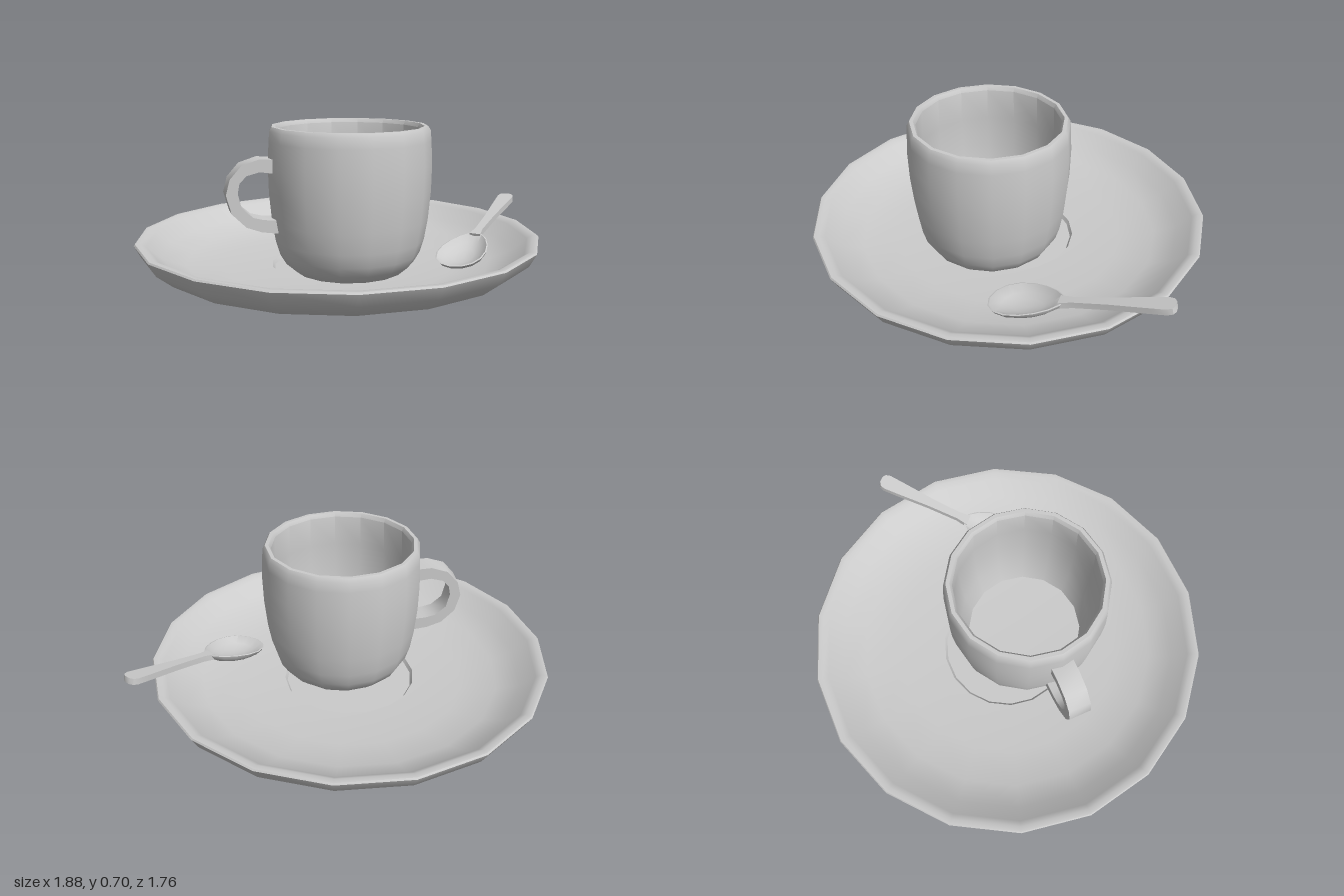
import * as THREE from 'three';
import { toCreasedNormals } from 'three/addons/utils/BufferGeometryUtils.js';

const material = new THREE.MeshStandardMaterial({ color: 0xcccccc });
const vectors = (pairs) => pairs.map(([x, y]) => new THREE.Vector2(x, y));

function part(name, geometry, crease = 0.6) {
  const mesh = new THREE.Mesh(toCreasedNormals(geometry, crease), material);
  mesh.name = name;
  return mesh;
}

// Closed profile from the bottom axis, up the outside and back down the inside
const turned = (profile, sides) =>
  new THREE.LatheGeometry(vectors(profile), sides, Math.PI / 2);

function createSaucer() {
  const saucer = part('saucer', turned([
    [0, 0.018], [0.415, 0.018], [0.42, 0], [0.44, 0], [0.44, 0.028],
    [0.62, 0.05], [0.71, 0.066], [0.795, 0.092], [0.865, 0.148],
    [0.895, 0.203], [0.89, 0.21], [0.868, 0.21], [0.843, 0.195],
    [0.78, 0.14], [0.68, 0.098], [0.52, 0.074], [0.3, 0.066],
    [0.29, 0.05], [0, 0.05],
  ], 18));
  saucer.position.x = -0.105;
  return saucer;
}

function createCup() {
  const cup = new THREE.Group();
  cup.name = 'cup';
  cup.position.set(-0.08, 0, 0.103);

  cup.add(part('cupBody', turned([
    [0, 0.05], [0.19, 0.05], [0.24, 0.068], [0.283, 0.105], [0.31, 0.15],
    [0.328, 0.21], [0.343, 0.3], [0.354, 0.42], [0.357, 0.54],
    [0.352, 0.64], [0.348, 0.685], [0.338, 0.702], [0.322, 0.702],
    [0.312, 0.685], [0.318, 0.54], [0.312, 0.4], [0.298, 0.25],
    [0.265, 0.13], [0, 0.12],
  ], 16)));

  // Ribbon handle: outer outline, then back along the inner outline
  const outline = new THREE.Shape(vectors([
    [-0.32, 0.57], [-0.4, 0.576], [-0.475, 0.552], [-0.525, 0.495],
    [-0.542, 0.43], [-0.52, 0.35], [-0.46, 0.29], [-0.395, 0.266],
    [-0.32, 0.255], [-0.32, 0.313], [-0.385, 0.318], [-0.43, 0.33],
    [-0.478, 0.372], [-0.493, 0.435], [-0.485, 0.477], [-0.455, 0.508],
    [-0.4, 0.522], [-0.32, 0.51],
  ]));
  const ribbon = new THREE.ExtrudeGeometry(outline, { depth: 0.1, bevelEnabled: false });
  ribbon.translate(0, 0, -0.046);
  cup.add(part('cupHandle', ribbon, 0.75));
  return cup;
}

function createSpoon() {
  const spoon = new THREE.Group();
  spoon.name = 'spoon';
  spoon.position.set(0.437, 0.13, 0.175);
  spoon.rotation.set(0, Math.PI / 4, 0.245);

  // Bowl: thin round dish stretched into an egg, narrower near the handle
  const bowl = turned([
    [0, -0.05], [0.4, -0.044], [0.72, -0.03], [0.93, -0.01], [1, 0.006],
    [0.95, 0.008], [0.7, -0.017], [0.4, -0.03], [0, -0.036],
  ], 16);
  const p = bowl.attributes.position;
  for (let i = 0; i < p.count; i++) {
    const x = p.getX(i);
    p.setX(i, x * 0.17);
    p.setZ(i, p.getZ(i) * 0.107 * (1 - 0.22 * x));
  }
  spoon.add(part('spoonBowl', bowl, 0.9));

  // Flat stem widening to a rounded end
  const half = [[0.145, 0.026], [0.2, 0.018], [0.35, 0.022], [0.52, 0.034],
    [0.585, 0.038], [0.607, 0.031], [0.617, 0.014]];
  const mirrored = half.map(([x, y]) => [x, -y]).reverse();
  const stem = new THREE.ExtrudeGeometry(
    new THREE.Shape(vectors([...half, ...mirrored])),
    { depth: 0.028, bevelEnabled: false });
  stem.rotateX(-Math.PI / 2).translate(0, -0.016, 0);
  spoon.add(part('spoonStem', stem));
  return spoon;
}

export function createModel() {
  const model = new THREE.Group();
  model.name = 'cupAndSaucer';
  model.add(createSaucer(), createCup(), createSpoon());
  return model;
}
